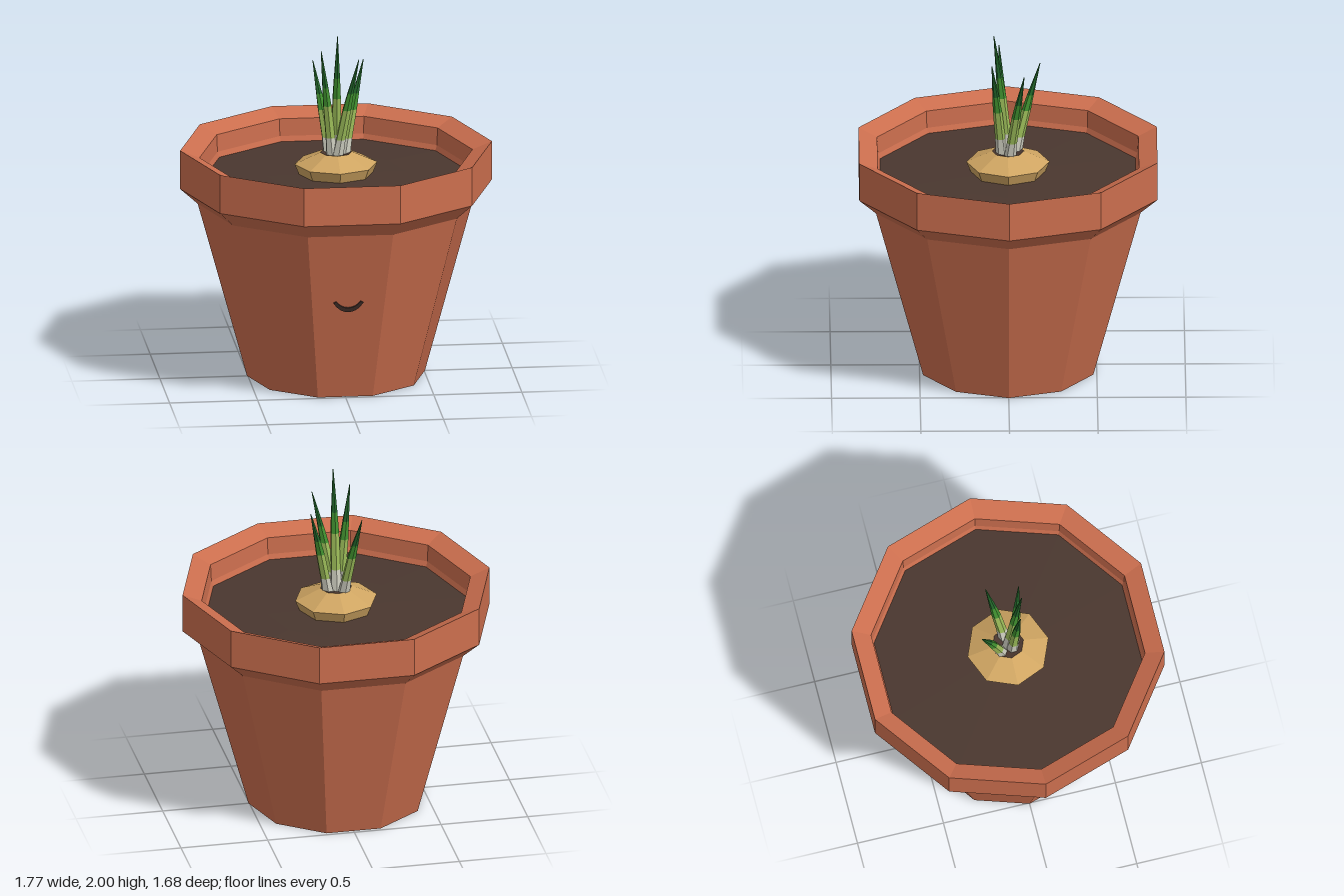
import * as THREE from 'three';

const mat = (name, color) => {
  const m = new THREE.MeshStandardMaterial({ color, flatShading: true });
  m.name = name;
  return m;
};

export function createModel() {
  const group = new THREE.Group();
  const clay = mat('terracotta', 0xcb6e4e);
  const soilMat = mat('soil', 0x4a372f);
  const bulbMat = mat('bulb skin', 0xcfa562);
  const smileMat = mat('smile', 0x3e2d27);
  // leaf colours from tip to base
  const leafMats = [
    mat('dark green', 0x22662a), mat('mid green', 0x40902f),
    mat('lime green', 0x9aba58), mat('pale stem', 0xccccbe),
  ];

  const add = (name, geometry, material) => {
    const mesh = new THREE.Mesh(geometry, material);
    mesh.name = name;
    group.add(mesh);
    return mesh;
  };
  const lathe = (profile, sides, start) => new THREE.LatheGeometry(
    profile.map(([r, y]) => new THREE.Vector2(r, y)), sides, start);

  // Ten-sided pot with a rim that slopes inward
  add('pot', lathe([
    [0, 0], [0.505, 0], [0.785, 1.02], [0.885, 1.11], [0.885, 1.335],
    [0.775, 1.29], [0.77, 1.19], [0.75, 1.14],
  ], 10, Math.PI / 10), clay);

  // Gently domed soil
  add('soil', lathe([[0.762, 1.16], [0.4, 1.172], [0, 1.18]], 10, Math.PI / 10), soilMat);

  // Eight-sided bulb with a dark crown between the shoots
  add('bulb', lathe([[0.2, 1.15], [0.235, 1.235], [0.09, 1.3]], 8, 0), bulbMat);
  add('bulbCrown', lathe([[0.09, 1.3], [0, 1.28]], 8, 0), soilMat);

  // Leaf: a curved, tapering tube with one material per band
  const bands = [1, 0.65, 0.48, 0.18, 0]; // heights of the band edges
  const radii = [0.002, 0.019, 0.026, 0.029, 0.035];
  const sides = 6;
  function leaf(base, tip) {
    const a = new THREE.Vector3(...base), c = new THREE.Vector3(...tip);
    const mid = a.clone().lerp(c, 0.5);
    mid.x -= (c.x - a.x) * 0.1;
    mid.z -= (c.z - a.z) * 0.1;
    const curve = new THREE.QuadraticBezierCurve3(a, mid, c);
    const geo = new THREE.PlaneGeometry(1, 1, sides, bands.length - 1);
    const pos = geo.attributes.position;
    for (let i = 0; i < pos.count; i++) {
      const row = Math.floor(i / (sides + 1));
      const angle = (i % (sides + 1)) / sides * Math.PI * 2;
      const p = curve.getPoint(bands[row]);
      pos.setXYZ(i, p.x + Math.sin(angle) * radii[row], p.y, p.z + Math.cos(angle) * radii[row]);
    }
    geo.computeVertexNormals();
    leafMats.forEach((_, row) => geo.addGroup(row * sides * 6, sides * 6, row));
    return geo;
  }
  [
    [[0, 1.28, 0], [0, 2, 0.08]],
    [[0.005, 1.28, 0.035], [0.12, 1.865, 0.092]],
    [[0.05, 1.28, -0.01], [0.165, 1.815, -0.09]],
    [[-0.035, 1.28, -0.045], [-0.112, 1.79, -0.182]],
    [[-0.025, 1.28, 0.02], [-0.09, 1.91, 0.05]],
  ].forEach(([base, tip], i) => add('leaf' + (i + 1), leaf(base, tip), leafMats));

  // Smile: a thin crescent lying on the sloping front face
  const shape = new THREE.Shape();
  shape.moveTo(-0.085, 0.02);
  shape.quadraticCurveTo(-0.05, -0.04, 0, -0.04);
  shape.quadraticCurveTo(0.05, -0.04, 0.085, 0.02);
  shape.lineTo(0.07, 0.028);
  shape.quadraticCurveTo(0.04, -0.013, 0, -0.013);
  shape.quadraticCurveTo(-0.04, -0.013, -0.07, 0.028);
  shape.closePath();
  const smile = add('smile', new THREE.ExtrudeGeometry(shape,
    { depth: 0.008, bevelEnabled: false, curveSegments: 5 }), smileMat);
  const slope = (0.785 - 0.505) * Math.cos(Math.PI / 10) / 1.02;
  smile.position.set(0, 0.58, 0.505 * Math.cos(Math.PI / 10) + 0.58 * slope);
  smile.rotation.x = Math.atan(slope);

  return group;
}
